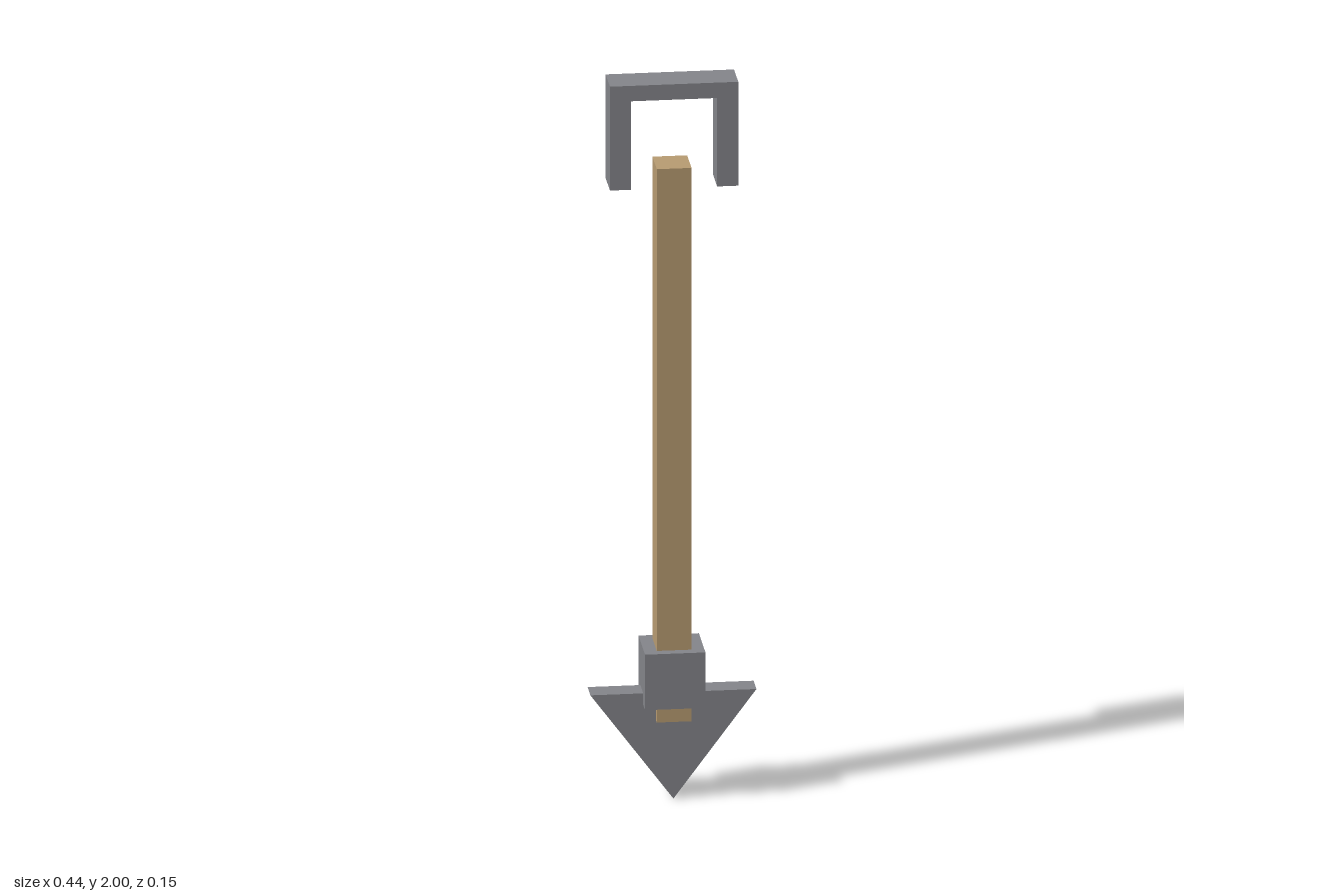
import * as THREE from 'three';

const steel = new THREE.MeshStandardMaterial({ color: 0x84858a });
steel.name = 'steel grey';
const wood = new THREE.MeshStandardMaterial({ color: 0xb89c72 });
wood.name = 'light wood';

// Box spanning y0 to y1, centred on the shaft axis
function block(name, width, y0, y1, depth, material) {
  const mesh = new THREE.Mesh(new THREE.BoxGeometry(width, y1 - y0, depth), material);
  mesh.position.y = (y0 + y1) / 2;
  mesh.name = name;
  return mesh;
}

// Flat outline extruded symmetrically about z = 0
function plate(name, outline, depth, material) {
  const shape = new THREE.Shape(outline.map(([x, y]) => new THREE.Vector2(x, y)));
  const geometry = new THREE.ExtrudeGeometry(shape, { depth, bevelEnabled: false });
  geometry.translate(0, 0, -depth / 2);
  const mesh = new THREE.Mesh(geometry, material);
  mesh.name = name;
  return mesh;
}

export function createModel() {
  const group = new THREE.Group();
  group.name = 'spade';

  // Square wooden shaft, running down through the collar
  group.add(block('shaft', 0.092, 0.22, 1.765, 0.1, wood));

  // Collar gripping the shaft above the blade
  group.add(block('collar', 0.16, 0.265, 0.42, 0.152, steel));

  // Triangular pointed blade
  group.add(plate('blade', [[0, 0], [0.22, 0.297], [-0.22, 0.297]], 0.066, steel));

  // Open U-shaped grip above the shaft
  group.add(plate('handle', [
    [-0.17, 1.71], [-0.114, 1.71], [-0.114, 1.957], [0.114, 1.957],
    [0.114, 1.71], [0.17, 1.71], [0.17, 2], [-0.17, 2],
  ], 0.098, steel));

  return group;
}
